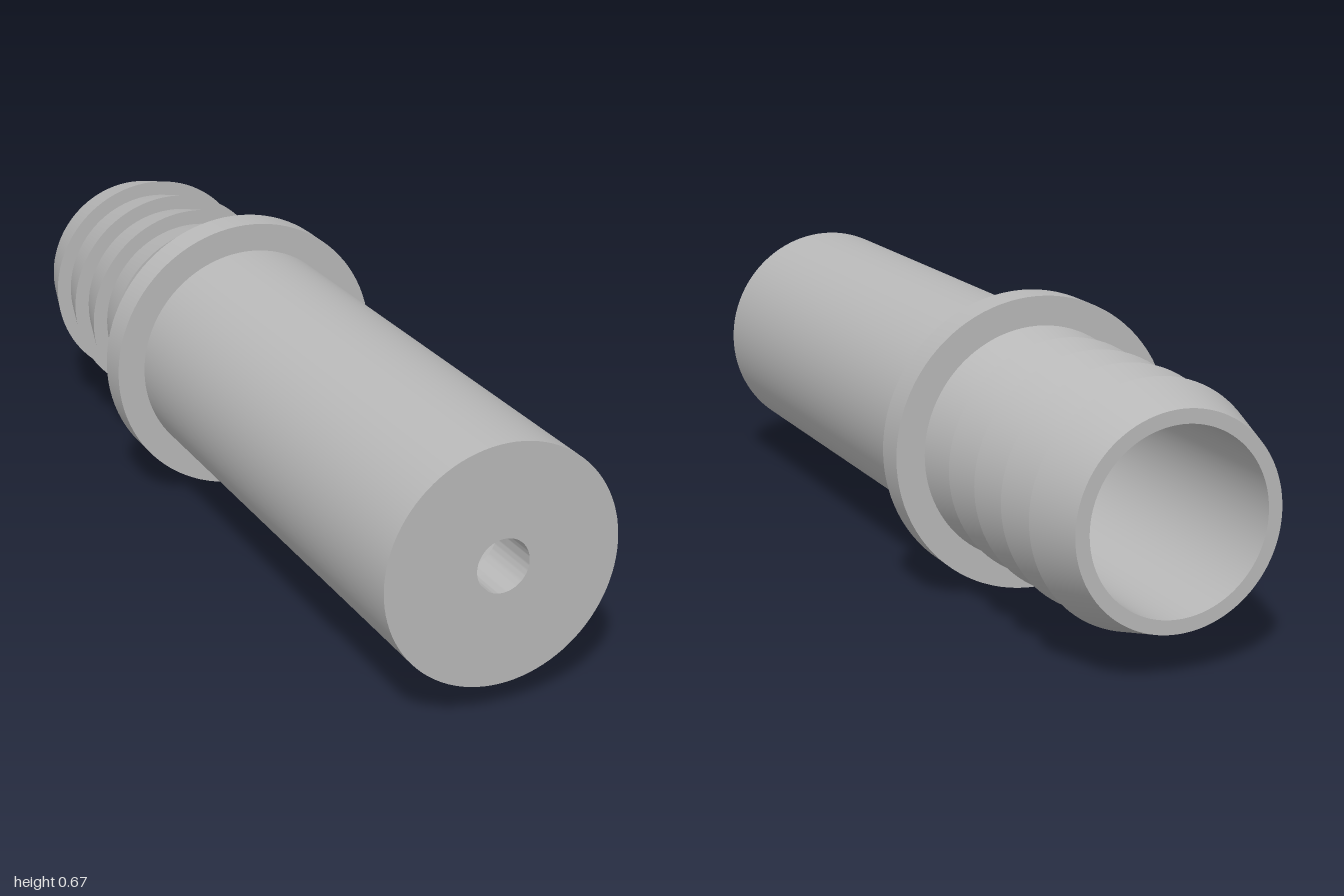
import * as THREE from 'three';
import { toCreasedNormals } from 'three/addons/utils/BufferGeometryUtils.js';

const SEGMENTS = 96;
const AXIS_HEIGHT = 1 / 3;
const TUBE_R = 0.267, FLANGE_R = 1 / 3, TIP_R = 0.231, BORE_R = 0.2, HOLE_R = 0.06;
const FLANGE_FRONT = -0.255, FLANGE_BACK = -1 / 3, BORE_END = 0.867;
const BARBS = 5;

export function createModel() {
  const model = new THREE.Group();
  model.name = 'hoseFitting';
  const plastic = new THREE.MeshStandardMaterial({ color: 0xb8b8b8 });
  plastic.name = 'grey';

  // Turns a [radius, z] profile about the z axis; outer surfaces run back to front
  function turned(name, profile) {
    const points = profile.map(([r, z]) => new THREE.Vector2(r, z));
    const lathe = new THREE.LatheGeometry(points, SEGMENTS).rotateX(Math.PI / 2);
    const mesh = new THREE.Mesh(toCreasedNormals(lathe, 0.4), plastic);
    mesh.name = name;
    mesh.position.y = AXIS_HEIGHT;
    model.add(mesh);
  }

  // Straight tube with its front face
  turned('barrel', [[TUBE_R, FLANGE_FRONT], [TUBE_R, 1], [HOLE_R, 1]]);

  // Stop collar
  turned('collar', [
    [TUBE_R, FLANGE_BACK], [FLANGE_R, FLANGE_BACK],
    [FLANGE_R, FLANGE_FRONT], [TUBE_R, FLANGE_FRONT],
  ]);

  // Tapered barbs, each narrowing towards the back with a step in front
  const pitch = (1 + FLANGE_BACK) / BARBS;
  for (let i = 0; i < BARBS; i++) {
    const back = -1 + i * pitch;
    const profile = [[TIP_R, back], [TUBE_R, back + pitch]];
    if (i < BARBS - 1) profile.push([TIP_R, back + pitch]);
    turned('barb' + (i + 1), profile);
  }

  // Back rim, wide bore and the narrow outlet through the front wall
  turned('bore', [
    [HOLE_R, 1], [HOLE_R, BORE_END], [BORE_R, BORE_END], [BORE_R, -1], [TIP_R, -1],
  ]);

  return model;
}
